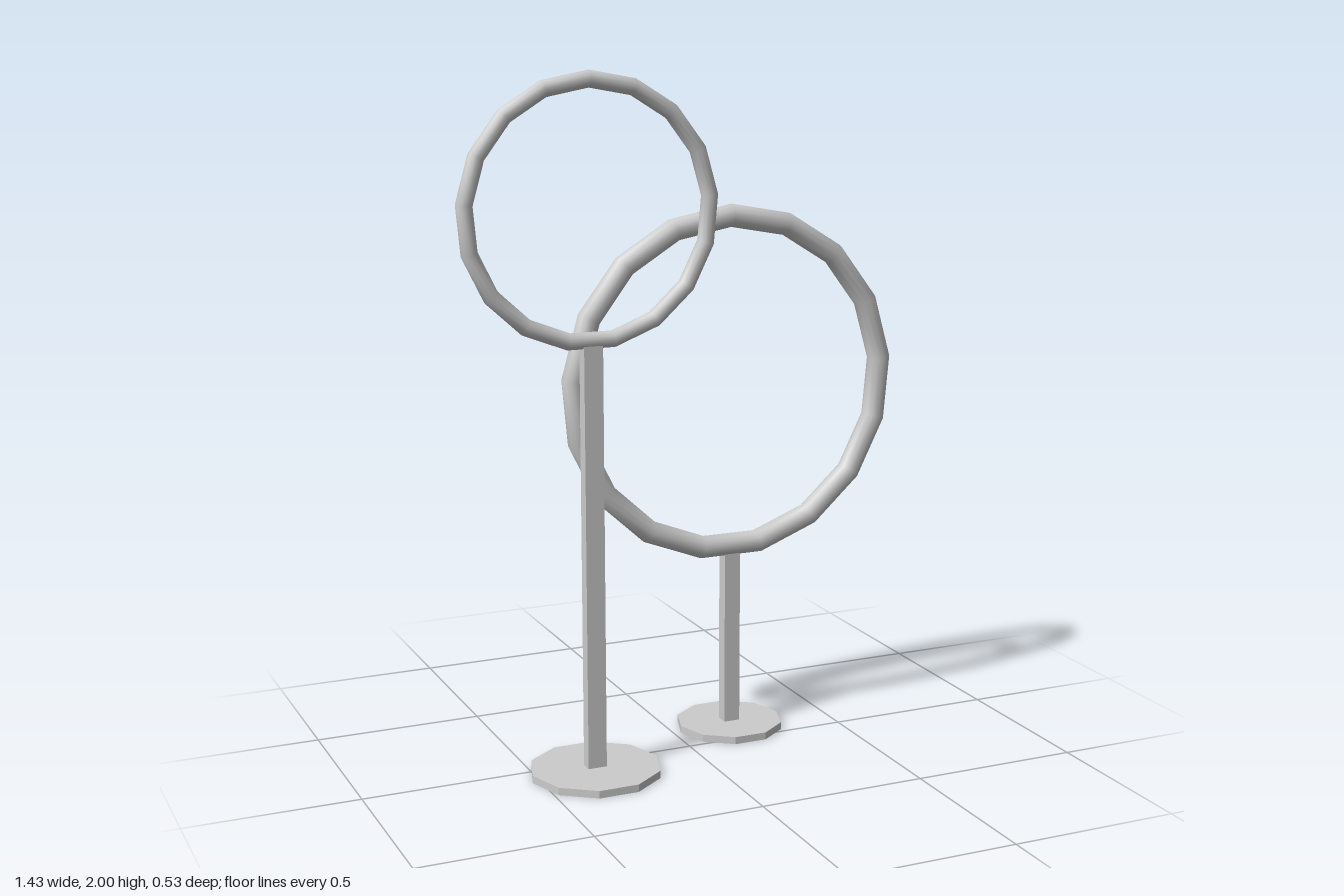
import * as THREE from 'three';

const material = new THREE.MeshStandardMaterial({ color: 0xcccccc });
const RING_SIDES = 17, BASE_SIDES = 10, BASE_HEIGHT = 0.022;

function addPart(group, name, geometry, y, mat = material) {
  const mesh = new THREE.Mesh(geometry, mat);
  mesh.name = name;
  mesh.position.y = y;
  group.add(mesh);
}

// One hoop on a flat bar post with a ten-sided foot plate
function hoopStand({ name, x, z, baseRadius, postWidth, postDepth, ringRadius, tube, ringY }) {
  const stand = new THREE.Group();
  stand.name = name;
  stand.position.set(x, 0, z);

  // foot plate, flat sides facing front and back
  const base = new THREE.CylinderGeometry(baseRadius, baseRadius, BASE_HEIGHT, BASE_SIDES);
  base.rotateY(Math.PI / BASE_SIDES);
  const flat = material.clone();
  flat.flatShading = true;
  addPart(stand, 'base', base, BASE_HEIGHT / 2, flat);

  // post ends inside the hoop's lowest segment
  const postTop = ringY - ringRadius * Math.cos(Math.PI / RING_SIDES) - tube * 0.5;
  const postHeight = postTop - BASE_HEIGHT / 2;
  addPart(stand, 'post', new THREE.BoxGeometry(postWidth, postHeight, postDepth),
    BASE_HEIGHT / 2 + postHeight / 2);

  // hoop with a corner at the top and a flat segment at the bottom
  const ring = new THREE.TorusGeometry(ringRadius, tube, 12, RING_SIDES);
  ring.rotateZ(Math.PI / 2);
  addPart(stand, 'hoop', ring, ringY);
  return stand;
}

export function createModel() {
  const model = new THREE.Group();
  model.name = 'hoopStands';
  model.add(
    hoopStand({
      name: 'tallStand', x: -0.333, z: 0.082, baseRadius: 0.192, postWidth: 0.056, postDepth: 0.037,
      ringRadius: 0.359, tube: 0.024, ringY: 1.617,
    }),
    hoopStand({
      name: 'shortStand', x: 0.182, z: -0.112, baseRadius: 0.161, postWidth: 0.05, postDepth: 0.04,
      ringRadius: 0.499, tube: 0.034, ringY: 1.067,
    }),
  );
  return model;
}
